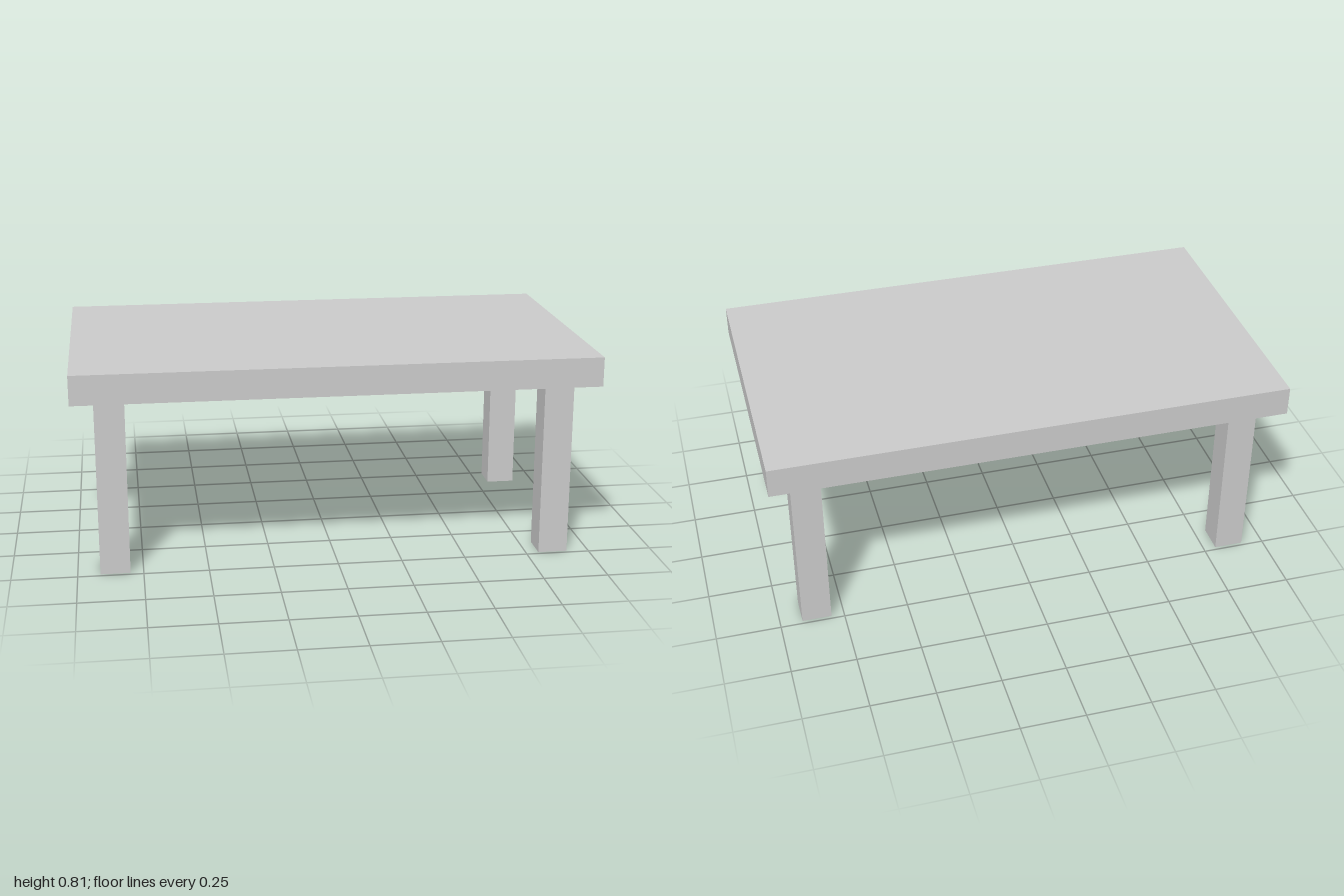
import * as THREE from 'three';

const TOP = { width: 2, thickness: 0.114, depth: 1.143 };
const LEG = { side: 0.114, height: 0.695, x: 0.857, z: 0.429 };

export function createModel() {
  const table = new THREE.Group();
  table.name = 'table';
  const material = new THREE.MeshStandardMaterial({ color: 0xcccccc, flatShading: true });

  // Flat slab resting on the legs
  const top = new THREE.Mesh(new THREE.BoxGeometry(TOP.width, TOP.thickness, TOP.depth), material);
  top.name = 'tableTop';
  top.position.y = LEG.height + TOP.thickness / 2;
  table.add(top);

  // Four square legs, set in from the corners
  const legGeometry = new THREE.BoxGeometry(LEG.side, LEG.height, LEG.side);
  for (const [sideName, sx] of [['Left', 1], ['Right', -1]]) {
    for (const [endName, sz] of [['front', 1], ['back', -1]]) {
      const leg = new THREE.Mesh(legGeometry, material);
      leg.name = `${endName}${sideName}Leg`;
      leg.position.set(sx * LEG.x, LEG.height / 2, sz * LEG.z);
      table.add(leg);
    }
  }

  return table;
}
